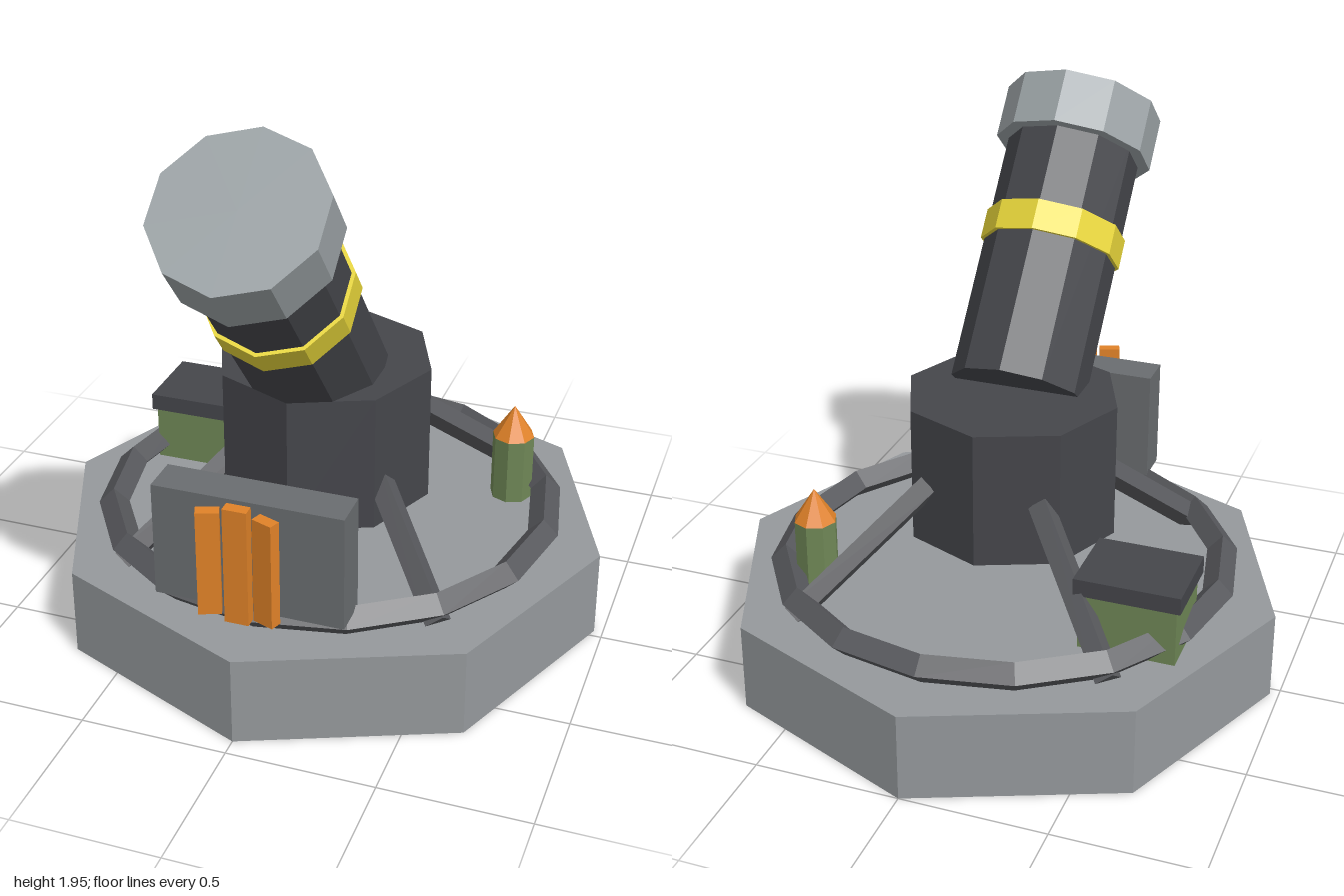
import * as THREE from 'three';

const paint = (color) => new THREE.MeshStandardMaterial({ color, flatShading: true });
const STONE = paint(0x95999c), DARK = paint(0x45464b), IRON = paint(0x58595d), PLATE = paint(0x6a6d70);
const MUZZLE = paint(0x9ba2a5), YELLOW = paint(0xe8d63a), ORANGE = paint(0xe08228), GREEN = paint(0x6f8756);

function add(parent, name, geometry, material, x = 0, y = 0, z = 0) {
  const mesh = new THREE.Mesh(geometry, material);
  mesh.name = name;
  mesh.position.set(x, y, z);
  parent.add(mesh);
  return mesh;
}

const prism = (r, h, sides) => new THREE.CylinderGeometry(r, r, h, sides);
const box = (w, h, d) => new THREE.BoxGeometry(w, h, d);

// Square bar standing on its edge, running between two points
function strut(parent, from, to) {
  const dir = to.clone().sub(from);
  const mesh = add(parent, 'strut', prism(0.047, dir.length(), 4), IRON);
  mesh.position.copy(from).add(to).multiplyScalar(0.5);
  const up = dir.normalize();
  const side = new THREE.Vector3(0, 1, 0).cross(up).normalize();
  mesh.quaternion.setFromRotationMatrix(
    new THREE.Matrix4().makeBasis(side, up, side.clone().cross(up)));
}

export function createModel() {
  const model = new THREE.Group();
  model.name = 'mortarEmplacement';
  const cz = -0.03;

  // Octagonal plinth and the turning ring on top of it
  add(model, 'base', prism(0.97, 0.31, 8), STONE, 0, 0.155, cz);
  const ring = add(model, 'turningRing', new THREE.TorusGeometry(0.768, 0.053, 4, 16), IRON, 0, 0.362, cz);
  ring.rotation.x = Math.PI / 2;

  // Pedestal held by four diagonal struts
  add(model, 'pedestal', prism(0.375, 0.48, 8), DARK, 0, 0.72, 0.04);
  for (const sx of [-1, 1]) for (const sz of [-1, 1]) {
    strut(model,
      new THREE.Vector3(sx * 0.555, 0.31, cz + sz * 0.555),
      new THREE.Vector3(sx * 0.2, 0.695, cz + sz * 0.2));
  }

  // Barrel group: local y runs along the bore, tilted 40 degrees forward
  const gun = new THREE.Group();
  gun.name = 'gun';
  gun.position.set(0, 0.942, 0.095);
  gun.rotation.x = THREE.MathUtils.degToRad(40);
  model.add(gun);
  add(gun, 'barrel', prism(0.235, 0.95, 10), DARK, 0, 0.475, 0);
  add(gun, 'barrelBand', prism(0.248, 0.107, 10), YELLOW, 0, 0.557, 0);
  add(gun, 'muzzle', prism(0.278, 0.19, 10), MUZZLE, 0, 0.982, 0);

  // Front shield with three warning bars
  add(model, 'shield', box(0.64, 0.4, 0.135), PLATE, 0, 0.598, 0.71);
  add(model, 'middleBar', box(0.08, 0.41, 0.04), ORANGE, 0, 0.618, 0.857);
  for (const s of [-1, 1]) {
    const bar = add(model, 'sideBar', box(0.075, 0.37, 0.04), ORANGE, s * 0.095, 0.615, 0.86);
    bar.rotation.y = -s * 0.35;
  }

  // Ammunition crate with lid
  add(model, 'crate', box(0.33, 0.2, 0.26), GREEN, -0.565, 0.41, -0.302);
  add(model, 'crateLid', box(0.36, 0.06, 0.285), DARK, -0.565, 0.54, -0.302);

  // Upright shell
  add(model, 'shellBody', prism(0.075, 0.24, 8), GREEN, 0.58, 0.43, -0.34);
  add(model, 'shellTip', new THREE.ConeGeometry(0.075, 0.115, 8), ORANGE, 0.58, 0.6075, -0.34);

  return model;
}
